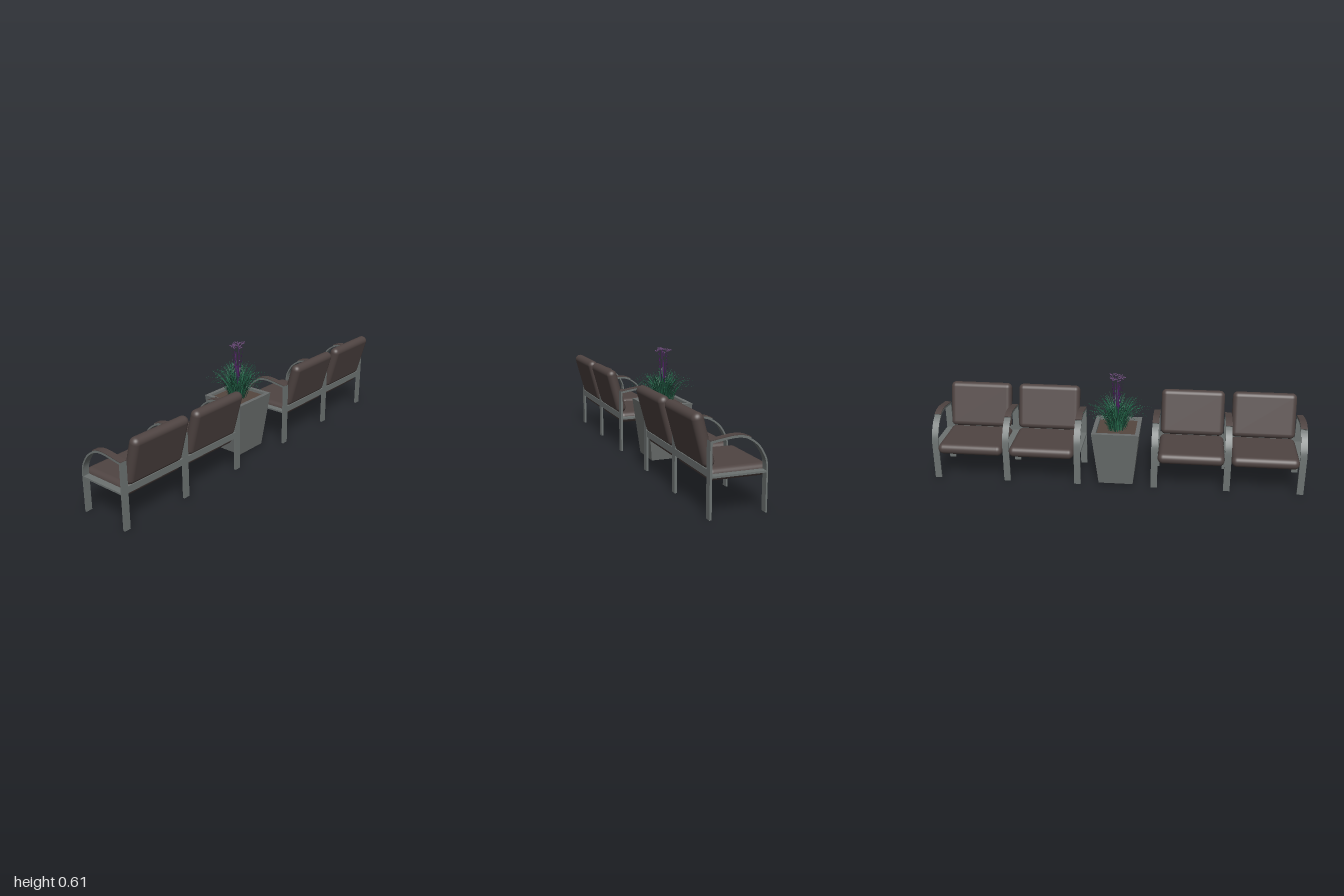
import * as THREE from 'three';
import { mergeGeometries, toCreasedNormals } from 'three/addons/utils/BufferGeometryUtils.js';
import { RoundedBoxGeometry } from 'three/addons/geometries/RoundedBoxGeometry.js';

const material = (name, color, side = THREE.FrontSide) => {
  const m = new THREE.MeshStandardMaterial({ color, side });
  m.name = name;
  return m;
};
const mats = {
  brown: material('brown upholstery', 0x4f4442),
  frame: material('grey metal', 0x6c7271),
  planter: material('planter grey', 0x696d6c),
  soil: material('soil brown', 0x55463f),
  darkGreen: material('dark green', 0x1c4d3a, THREE.DoubleSide),
  green: material('green', 0x2a7553, THREE.DoubleSide),
  purple: material('stalk purple', 0x4b1c60, THREE.DoubleSide),
  flower: material('flower purple', 0x6a4a78),
};

function mesh(name, geometry, mat, parent, x = 0, y = 0, z = 0) {
  const m = new THREE.Mesh(geometry, mat);
  m.name = name;
  m.position.set(x, y, z);
  parent.add(m);
  return m;
}

// Repeatable pseudo-random numbers
let seed = 7;
const rand = (a = 0, b = 1) => {
  seed = (seed * 16807) % 2147483647;
  return a + (b - a) * (seed / 2147483647);
};

// A flat bar following a path in the xy plane, extruded to a width along z
function strap(points, thickness, width) {
  const left = [], right = [];
  points.forEach((p, i) => {
    const a = points[Math.max(i - 1, 0)], b = points[Math.min(i + 1, points.length - 1)];
    const n = new THREE.Vector2(a.y - b.y, b.x - a.x).normalize().multiplyScalar(thickness / 2);
    left.push(p.clone().add(n));
    right.unshift(p.clone().sub(n));
  });
  const g = new THREE.ExtrudeGeometry(new THREE.Shape([...right, ...left]), { depth: width, bevelEnabled: false });
  g.translate(0, 0, -width / 2);
  return toCreasedNormals(g, 0.6);
}
const smooth = (pts, n) => new THREE.SplineCurve(pts.map(p => new THREE.Vector2(...p))).getPoints(n);

const W = 0.035; // frame width along z
const archGeo = strap([new THREE.Vector2(-0.107, 0.003), new THREE.Vector2(-0.107, 0.1),
  ...smooth([[-0.107, 0.2], [-0.1, 0.247], [-0.072, 0.297], [-0.043, 0.325], [-0.015, 0.342]], 20)], 0.008, W);
const armPath = smooth([[-0.026, 0.339], [0.005, 0.35], [0.045, 0.353], [0.09, 0.348], [0.161, 0.337]], 16);
const armGeo = strap(armPath, 0.011, W);
const padGeo = strap(armPath.map(p => new THREE.Vector2(p.x, p.y + 0.007)), 0.003, W);
const seatGeo = new RoundedBoxGeometry(0.295, 0.058, 0.352, 5, 0.0285);
const backGeo = new RoundedBoxGeometry(0.056, 0.25, 0.346, 5, 0.0275);

// Two seats sharing three side frames, facing -x
function createBench(zCentre) {
  const bench = new THREE.Group();
  bench.name = 'bench';
  for (const z of [-0.3875, 0, 0.3875]) {
    const side = new THREE.Group();
    side.name = 'sideFrame';
    side.position.z = z;
    mesh('frontLegArch', archGeo, mats.frame, side);
    mesh('armrest', armGeo, mats.frame, side);
    mesh('armrestPad', padGeo, mats.brown, side);
    mesh('rearLeg', new THREE.BoxGeometry(0.011, 0.343, W), mats.frame, side, 0.1565, 0.1715);
    mesh('seatBar', new THREE.BoxGeometry(0.262, 0.009, W), mats.frame, side, 0.024, 0.187);
    bench.add(side);
  }
  mesh('rearRail', new THREE.BoxGeometry(0.009, 0.033, 0.775), mats.frame, bench, 0.157, 0.199);
  for (const z of [-0.194, 0.194]) {
    mesh('seatCushion', seatGeo, mats.brown, bench, 0.007, 0.184, z);
    mesh('backCushion', backGeo, mats.brown, bench, 0.1685, 0.334, z).rotation.z = -0.265;
  }
  bench.position.z = zCentre;
  return bench;
}

// Square tapered pot: four-sided lathe with a rim and a recessed soil plate
function createPlanter() {
  const planter = new THREE.Group();
  planter.name = 'planter';
  const profile = [[0, 0.013], [0.0925, 0.013], [0.126, 0.315], [0.104, 0.315], [0.102, 0.298]]
    .map(([r, y]) => new THREE.Vector2(r * Math.SQRT2, y));
  const pot = new THREE.LatheGeometry(profile, 4, Math.PI / 4);
  mesh('pot', toCreasedNormals(pot, 0.1), mats.planter, planter);
  mesh('soil', new THREE.BoxGeometry(0.206, 0.006, 0.206), mats.soil, planter, 0, 0.299);
  return planter;
}

// Tapering strip along a curved path leaning outward at an angle
function blade(curve, angle, width, segments) {
  const pos = [], index = [];
  const c = Math.cos(angle), s = Math.sin(angle);
  curve.getPoints(segments).forEach((p, i) => {
    const w = width * (1 - 0.85 * (i / segments) ** 1.5) / 2;
    for (const k of [-w, w]) pos.push(p.x * c - k * s, p.y, p.x * s + k * c);
    if (i) index.push(2 * i - 2, 2 * i, 2 * i - 1, 2 * i - 1, 2 * i, 2 * i + 1);
  });
  const g = new THREE.BufferGeometry();
  g.setAttribute('position', new THREE.Float32BufferAttribute(pos, 3));
  g.setIndex(index);
  g.computeVertexNormals();
  return g;
}
const arc = (...p) => new THREE.QuadraticBezierCurve(...p.map(q => new THREE.Vector2(...q)));

function createPlant() {
  const plant = new THREE.Group();
  plant.name = 'plant';
  // Arching grass, from upright in the middle to drooping at the edge
  const leaves = [[], []];
  for (let i = 0; i < 300; i++) {
    const u = rand(), r0 = rand(0.005, 0.03) + 0.025 * u;
    const reach = (0.015 + 0.125 * u) * rand(0.75, 1.1) + (i % 30 === 0 ? 0.035 : 0);
    const h = rand(0.14, 0.215) - 0.03 * u;
    const curve = arc([r0, 0.3], [r0 + reach * 0.35, 0.3 + h * (0.75 + 0.2 * u)], [r0 + reach, 0.3 + h * (1 - 0.28 * u)]);
    leaves[i % 3 ? 0 : 1].push(blade(curve, i * 2.39996, rand(0.003, 0.005), 7));
  }
  mesh('darkGrass', mergeGeometries(leaves[0]), mats.darkGreen, plant);
  mesh('lightGrass', mergeGeometries(leaves[1]), mats.green, plant);

  // Tall stalks, each topped by a cluster of small blossoms
  const stalks = [], blossoms = [];
  for (let i = 0; i < 13; i++) {
    const a = i * 2.39996, r = 0.009 + 0.03 * Math.sqrt(i / 13), top = rand(0.58, 0.602);
    const curve = arc([0.006, 0.3], [0.006 + r * 0.3, 0.45], [r, top]);
    stalks.push(blade(curve, a, 0.003, 6), blade(curve, a + 0.08, 0.003, 6));
    for (let k = 0; k < 6; k++) {
      const b = k * Math.PI / 3, d = k % 2 ? 0.008 : 0.005;
      const g = new THREE.SphereGeometry(0.0032, 6, 4);
      g.scale(1.2, 0.7, 1.2);
      g.translate(r * Math.cos(a) + d * Math.cos(b), top + rand(-0.003, 0.007), r * Math.sin(a) + d * Math.sin(b));
      blossoms.push(g);
    }
  }
  mesh('flowerStalks', mergeGeometries(stalks), mats.purple, plant);
  mesh('blossoms', mergeGeometries(blossoms), mats.flower, plant);
  return plant;
}

export function createModel() {
  seed = 7;
  const model = new THREE.Group();
  model.name = 'waitingBenchesWithPlanter';
  model.add(createBench(0.595), createBench(-0.595));
  const planter = createPlanter();
  planter.position.x = -0.01;
  const plant = createPlant();
  plant.position.x = -0.014;
  model.add(planter, plant);
  return model;
}
